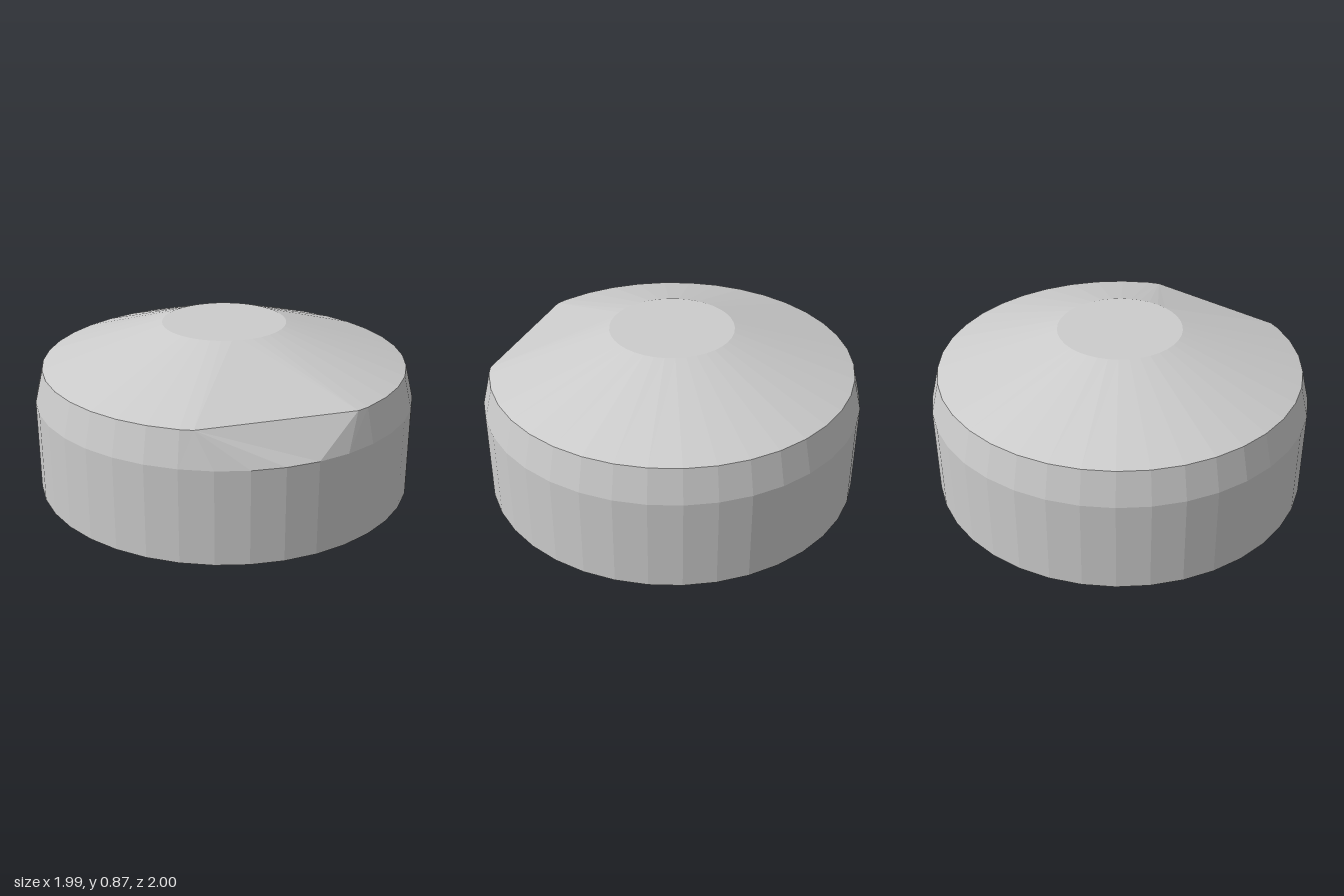
import * as THREE from 'three';

const SIDES = 38;
const BASE_R = 0.998, RIM_R = 0.955, TOP_R = 0.325;
const BASE_H = 0.485, RIM_H = 0.66, TOP_H = 0.865;
const FLAT_Z = 0.865, FLAT_X = 0.395; // corners of the flat cut in the rim

export function createModel() {
  const group = new THREE.Group();
  const material = new THREE.MeshStandardMaterial({ color: 0xcccccc, flatShading: true });

  function add(name, geometry) {
    const flat = geometry.toNonIndexed();
    flat.computeVertexNormals();
    const mesh = new THREE.Mesh(flat, material);
    mesh.name = name;
    group.add(mesh);
  }

  // Open band between two rings
  function band(r0, y0, r1, y1) {
    return new THREE.CylinderGeometry(r1, r0, y1 - y0, SIDES, 1, true)
      .translate(0, (y0 + y1) / 2, 0);
  }

  // Pull rim points beyond the front cut to the nearer end of its straight edge;
  // splitX decides which end takes the middle points
  function cutRim(geometry, splitX) {
    const p = geometry.attributes.position;
    for (let i = 0; i < p.count; i++) {
      if (Math.abs(p.getY(i) - RIM_H) < 1e-4 && p.getZ(i) > FLAT_Z) {
        p.setX(i, p.getX(i) > splitX ? FLAT_X : -FLAT_X);
        p.setZ(i, FLAT_Z);
      }
    }
    return geometry;
  }

  // Flat end disc, facing up (1) or down (-1)
  function disc(radius, y, facing) {
    return new THREE.CircleGeometry(radius, SIDES, -facing * Math.PI / 2)
      .rotateX(-facing * Math.PI / 2).translate(0, y, 0);
  }

  add('bottom', disc(BASE_R, 0, -1));
  add('wall', band(BASE_R, 0, BASE_R, BASE_H));
  add('bevel', cutRim(band(BASE_R, BASE_H, RIM_R, RIM_H), 0.22));
  add('slopedTop', cutRim(band(RIM_R, RIM_H, TOP_R, TOP_H), -0.22));
  add('topDisc', disc(TOP_R, TOP_H, 1));
  return group;
}
